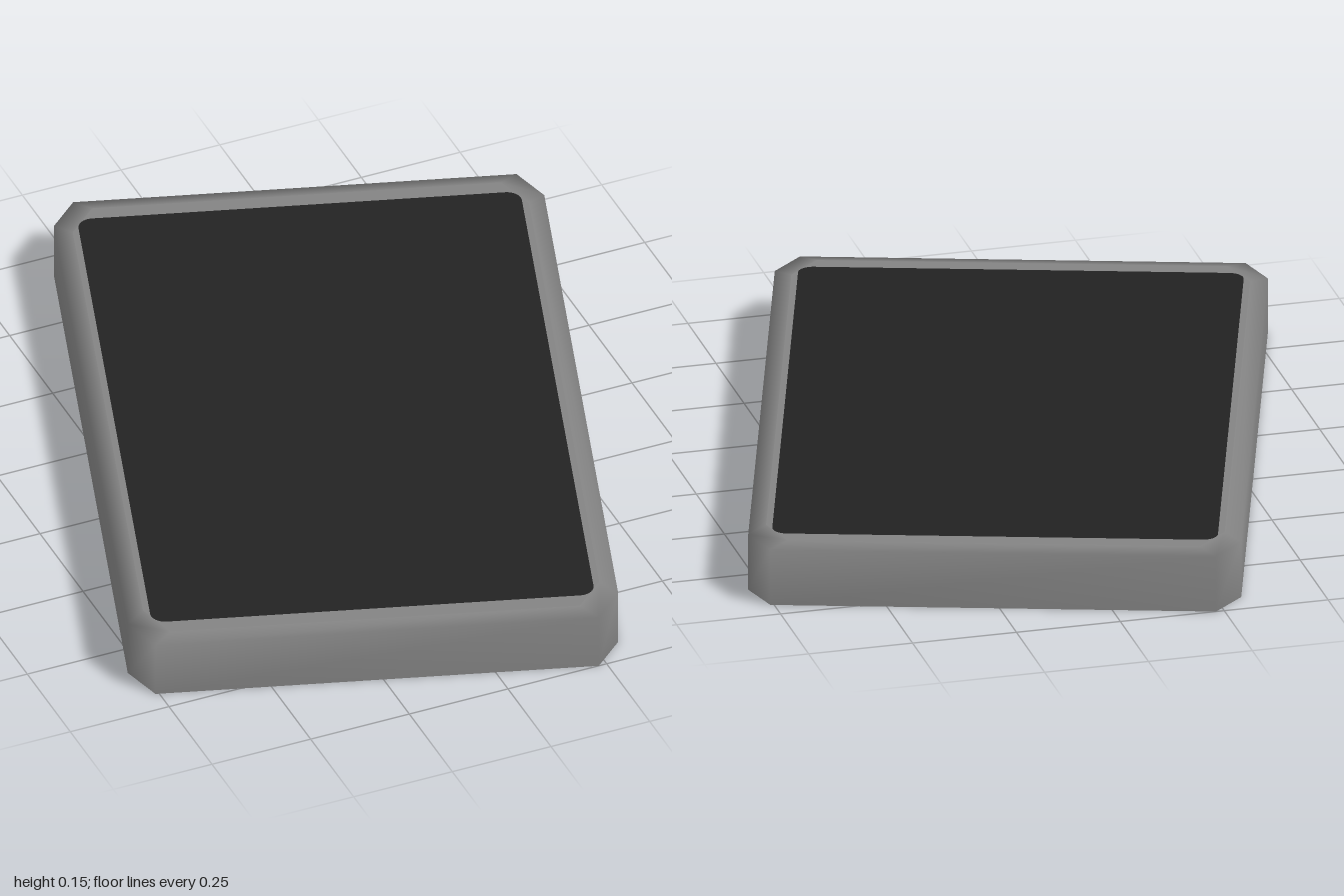
import * as THREE from 'three';

const W = 0.573, L = 0.886;      // half width and half length of the body
const H = 0.147, EDGE = 0.139;   // top height and height where the edge softens
const ANGLE = -17.35 * Math.PI / 180;

// Octagonal outline with cut corners, counter-clockwise seen from above
function outline(inset) {
  const w = W - inset, l = L - inset, cx = 0.055, cy = 0.09;
  return [
    [w, -l + cy], [w, l - cy], [w - cx, l], [-w + cx, l],
    [-w, l - cy], [-w, -l + cy], [-w + cx, -l], [w - cx, -l],
  ].map(([x, y]) => new THREE.Vector2(x, y));
}

// Rectangle with rounded corners
function roundedRect(w, h, r) {
  const s = new THREE.Shape();
  s.absarc(w - r, h - r, r, 0, Math.PI / 2);
  s.absarc(-w + r, h - r, r, Math.PI / 2, Math.PI);
  s.absarc(-w + r, -h + r, r, Math.PI, Math.PI * 1.5);
  s.absarc(w - r, -h + r, r, Math.PI * 1.5, Math.PI * 2);
  s.closePath();
  return s;
}

// Smooth open band through stacked outlines
function band(rings) {
  const pos = [], idx = [], n = 8;
  rings.forEach(([inset, y]) => outline(inset).forEach((p) => pos.push(p.x, y, -p.y)));
  for (let k = 0; k < rings.length - 1; k++) {
    for (let i = 0; i < n; i++) {
      const a = k * n + i, b = k * n + (i + 1) % n;
      idx.push(a, b, b + n, a, b + n, a + n);
    }
  }
  const g = new THREE.BufferGeometry();
  g.setAttribute('position', new THREE.Float32BufferAttribute(pos, 3));
  g.setIndex(idx);
  g.computeVertexNormals();
  return g;
}

export function createModel() {
  const casing = new THREE.MeshStandardMaterial({ color: 0x838383, side: THREE.DoubleSide });
  casing.name = 'casing grey';
  const dark = new THREE.MeshStandardMaterial({ color: 0x222222, side: THREE.DoubleSide });
  dark.name = 'screen black';

  const model = new THREE.Group();
  model.name = 'tablet';
  const add = (name, geometry, material) => {
    const m = new THREE.Mesh(geometry, material);
    m.name = name;
    model.add(m);
    return m;
  };
  const flat = (shape) => new THREE.ShapeGeometry(shape, 6).rotateX(-Math.PI / 2).translate(0, H, 0);

  // Thin side walls with a softened top edge, open underneath
  add('sideWalls', band([[0, 0], [0, EDGE], [0.04, H]]), casing);

  // Flat bezel around the screen
  const screenShape = roundedRect(0.518, 0.806, 0.035);
  const bezel = new THREE.Shape(outline(0.04));
  bezel.holes.push(new THREE.Path(screenShape.getPoints(6)));
  add('bezel', flat(bezel), casing);

  // Screen, seen from above and from the open underside
  add('screen', flat(screenShape), dark);

  // Small slot in the long left wall
  const slot = new THREE.ExtrudeGeometry(roundedRect(0.04, 0.01, 0.0099), {
    depth: 0.004, bevelEnabled: false, curveSegments: 4,
  });
  const port = add('port', slot, dark);
  port.rotation.y = Math.PI / 2;
  port.position.set(W - 0.002, 0.086, 0.659);

  model.rotation.y = ANGLE;
  const root = new THREE.Group();
  root.name = 'model';
  root.add(model);
  return root;
}
